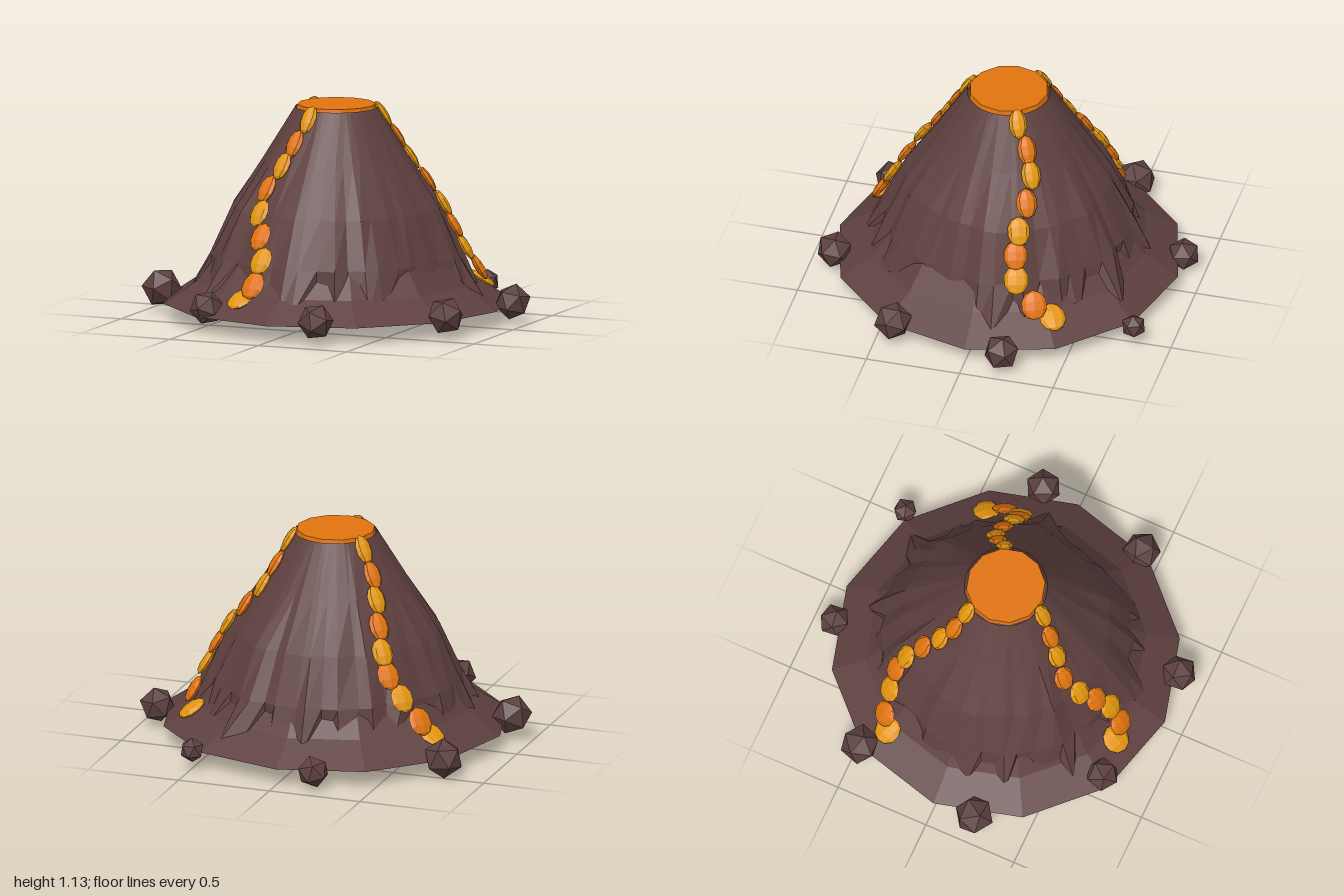
import * as THREE from 'three';

// slope profile [radius, y] of the ridge crests
const CREST = [[0.82, 0.12], [0.69, 0.34], [0.565, 0.59], [0.38, 0.845], [0.215, 1.105]];

function crestRadius(y) {
  for (let i = 1; i < CREST.length; i++) {
    const [r0, y0] = CREST[i - 1], [r1, y1] = CREST[i];
    if (y <= y1) return r0 + (r1 - r0) * (y - y0) / (y1 - y0);
  }
  return CREST[CREST.length - 1][0];
}

function seeded(seed) {
  return () => (seed = (seed * 16807) % 2147483647) / 2147483647;
}

export function createModel() {
  const rand = seeded(4711);
  const mat = (name, color, double) => {
    const m = new THREE.MeshStandardMaterial({ color, flatShading: true });
    m.name = name;
    if (double) m.side = THREE.DoubleSide;
    return m;
  };
  const brown = mat('mountain brown', 0x5f4040, true);
  const rockBrown = mat('boulder brown', 0x5d4040);
  const orange = mat('lava orange', 0xe0740f);
  const yellow = mat('lava amber', 0xe2960f);

  const model = new THREE.Group();
  model.name = 'volcano';
  const add = (name, geo, material, parent = model) => {
    const mesh = new THREE.Mesh(geo, material);
    mesh.name = name;
    parent.add(mesh);
    return mesh;
  };

  // twelve-sided foot and core, closed underneath
  const core = [[0, 0.085], [0.905, 0.085], [0.73, 0.2], [0.62, 0.34], [0.5, 0.59], [0.35, 0.845], [0.205, 1.1]];
  add('foot', new THREE.LatheGeometry(core.map(([r, y]) => new THREE.Vector2(r, y)), 12), brown);

  // rugged slope: columns of uneven depth that fade out towards the rim
  const columns = 48;
  const depth = [0.2, 0.08, 0.055, 0.015, 0];
  const grid = [];
  for (let i = 0; i < columns; i++) {
    const groove = rand();
    const a = ((i + (rand() - 0.5) * 0.5) / columns) * Math.PI * 2;
    grid.push(CREST.map(([r, y], row) => {
      const cut = depth[row] * (0.65 * groove + 0.35 * rand());
      const radius = r - cut;
      return [Math.sin(a) * radius, y, Math.cos(a) * radius];
    }));
  }
  const pos = [];
  for (let i = 0; i < columns; i++) {
    const p = grid[i], q = grid[(i + 1) % columns];
    for (let k = 0; k < CREST.length - 1; k++) {
      pos.push(...p[k], ...q[k], ...q[k + 1], ...p[k], ...q[k + 1], ...p[k + 1]);
    }
  }
  const slope = new THREE.BufferGeometry();
  slope.setAttribute('position', new THREE.Float32BufferAttribute(pos, 3));
  slope.computeVertexNormals();
  add('ruggedSlope', slope, brown);

  // molten pool in the crater
  add('lavaPool', new THREE.CylinderGeometry(0.205, 0.21, 0.03, 12), orange).position.y = 1.105;

  // three winding lava streams of flattened blobs, by height and heading in degrees
  const heights = [1.065, 0.945, 0.835, 0.72, 0.605, 0.495, 0.38, 0.26, 0.185];
  const streams = {
    frontStream: [-13, -19, -22.5, -26, -22, -16, -11.7, -12, -17],
    leftStream: [116, 122, 122, 116, 110, 108, 108, 115, 122],
    rightStream: [-123, -123, -127, -131.5, -134, -133.5, -129, -123.5, -119],
  };
  const blob = new THREE.SphereGeometry(1, 8, 5);
  for (const [name, headings] of Object.entries(streams)) {
    const stream = new THREE.Group();
    stream.name = name;
    model.add(stream);
    headings.forEach((deg, i) => {
      const last = i === headings.length - 1;
      const a = THREE.MathUtils.degToRad(deg), r = crestRadius(heights[i]) + (last ? -0.02 : 0.002);
      const mesh = add('lavaBlob', blob, i % 2 ? orange : yellow, stream);
      mesh.position.set(Math.sin(a) * r, heights[i], Math.cos(a) * r);
      mesh.rotation.set(last ? -1.0 : -0.55, a, 0, 'YXZ');
      const w = 0.047 + 0.003 * i;
      mesh.scale.set(w, 0.078, 0.024);
    });
  }

  // boulders around the foot: x, y, z, radius
  const boulders = [
    [-0.77, 0.1, -0.48, 0.105], [-0.89, 0.13, 0.225, 0.105], [-0.41, 0.13, 0.735, 0.09], [0.265, 0.12, 0.865, 0.095],
    [0.8, 0.12, 0.41, 0.1], [0.91, 0.11, -0.2, 0.095], [0.5, 0.1, -0.8, 0.065], [-0.2, 0.09, -0.885, 0.085],
  ];
  for (const [x, y, z, r] of boulders) {
    const rock = add('boulder', new THREE.IcosahedronGeometry(r, 0), rockBrown);
    rock.position.set(x, y, z);
    rock.rotation.set(rand() * 3, rand() * 3, rand() * 3);
  }
  return model;
}
